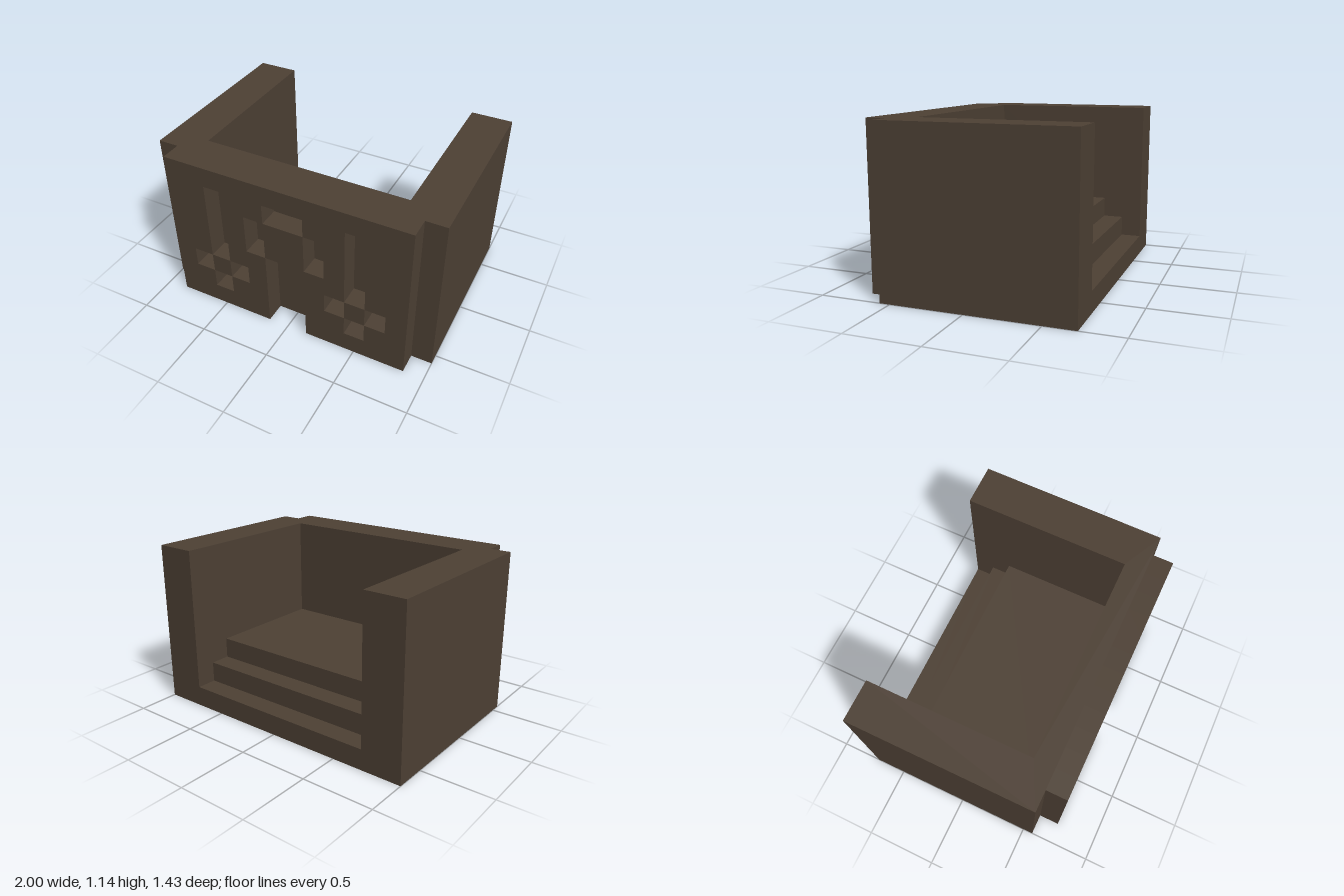
import * as THREE from 'three';

const U = 1 / 7; // block module

const darkBrown = new THREE.MeshStandardMaterial({ color: 0x4d4034 });
darkBrown.name = 'darkBrown';

// Closed outline from points given in block modules
function outline(points) {
  return new THREE.Shape(points.map(([a, b]) => new THREE.Vector2(a * U, b * U)));
}

function extrude(points, length) {
  return new THREE.ExtrudeGeometry(outline(points), { depth: length * U, bevelEnabled: false });
}

function part(name, geometry) {
  const mesh = new THREE.Mesh(geometry, darkBrown);
  mesh.name = name;
  return mesh;
}

export function createModel() {
  const model = new THREE.Group();
  model.name = 'throne';

  // U-shaped walls: two arms and the front wall, open at the rear
  const walls = extrude([
    [-7, -5], [-5, -5], [-5, 3], [5, 3], [5, -5], [7, -5], [7, 4], [-7, 4],
  ], 8);
  walls.rotateX(Math.PI / 2).translate(0, 8 * U, 0);
  model.add(part('walls', walls));

  // Two steps rising to the seat, as a side profile (z, y)
  const steps = extrude([
    [-5, 0], [3, 0], [3, 3], [-3, 3], [-3, 2], [-4, 2], [-4, 1], [-5, 1],
  ], 10);
  steps.rotateY(-Math.PI / 2).translate(5 * U, 0, 0);
  model.add(part('seatAndSteps', steps));

  // Front panel with recessed relief: solid height spans of each column, centre outward
  const columns = [
    [[4, 6], [7, 8]],
    [[0, 4], [6, 8]],
    [[0, 2], [3, 8]],
    [[0, 1], [2, 3], [7, 8]],
    [[0, 2], [3, 8]],
    [[0, 8]],
  ];
  const panel = new THREE.Group();
  panel.name = 'frontPanel';
  columns.forEach((spans, i) => {
    for (const [low, high] of spans) {
      for (const side of [-1, 1]) {
        const block = part('panelBlock', new THREE.BoxGeometry(U, (high - low) * U, U));
        block.position.set(side * (i + 0.5) * U, (low + high) / 2 * U, 4.5 * U);
        panel.add(block);
      }
    }
  });
  model.add(panel);

  return model;
}
